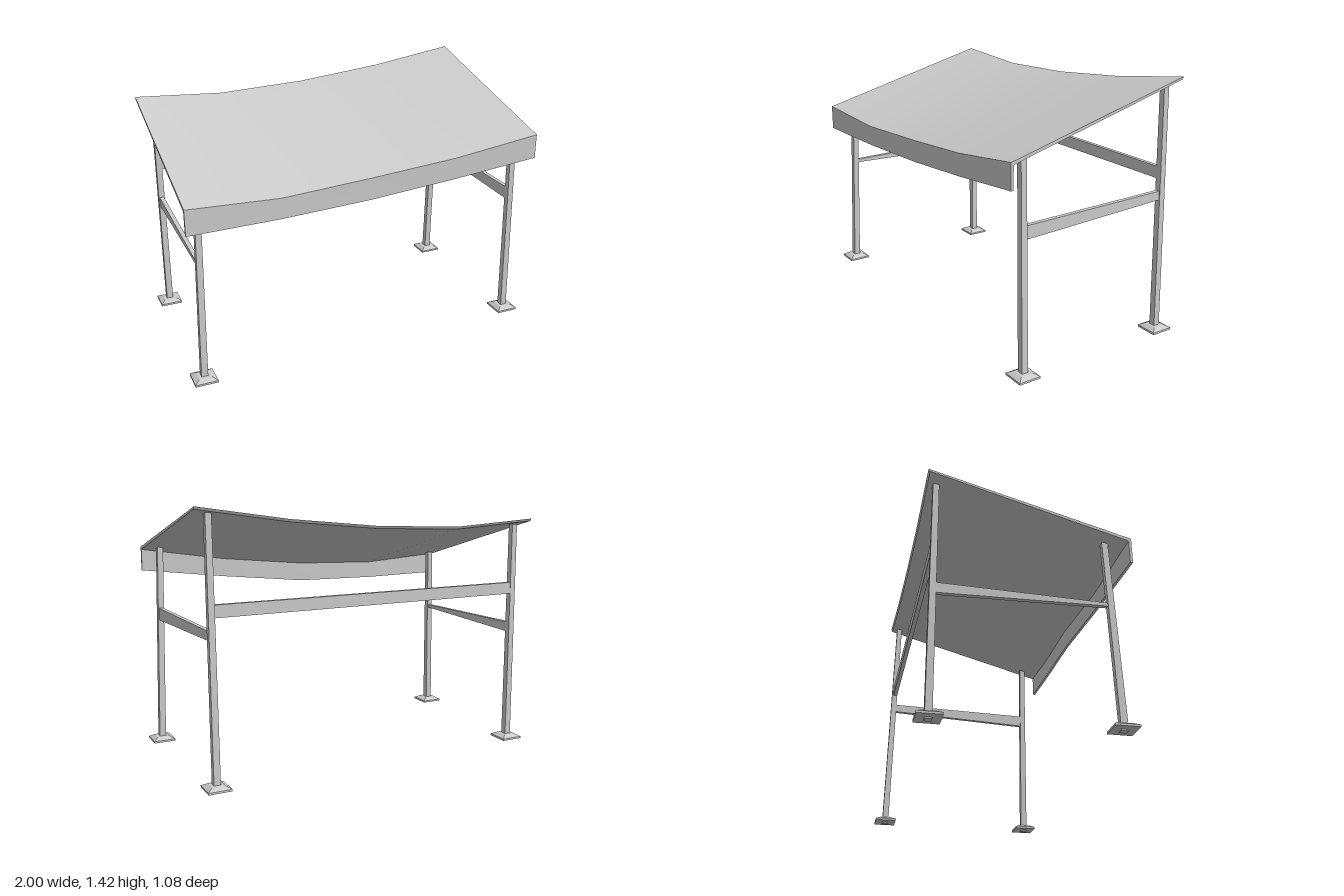
import * as THREE from 'three';
import { toCreasedNormals } from 'three/addons/utils/BufferGeometryUtils.js';

const material = new THREE.MeshStandardMaterial({ color: 0xcccccc });

function addMesh(parent, name, geometry) {
  const mesh = new THREE.Mesh(geometry, material);
  mesh.name = name;
  parent.add(mesh);
}

// Joins equal closed loops of points into a capped solid.
// Loops run counter-clockwise seen from the last section; caps lists triangles of one loop.
function loft(loops, caps, crease = 0.4) {
  const n = loops[0].length;
  const index = [];
  for (let s = 0; s < loops.length - 1; s++) {
    for (let i = 0; i < n; i++) {
      const a = s * n + i, b = s * n + (i + 1) % n;
      index.push(a, b, b + n, a, b + n, a + n);
    }
  }
  const last = (loops.length - 1) * n;
  for (const [a, b, c] of caps) index.push(a, c, b, last + a, last + b, last + c);
  const geometry = new THREE.BufferGeometry();
  geometry.setAttribute('position', new THREE.Float32BufferAttribute(loops.flat(2), 3));
  geometry.setIndex(index);
  return toCreasedNormals(geometry, crease);
}

const quadCaps = [[0, 1, 2], [0, 2, 3]];

// Sagging, sloped roof sheet with a hanging front valance
function roofGeometry() {
  // x, back top y, front top y, front z, valance bottom y
  const stations = [
    [-1.0, 1.305, 1.025, 0.54, 0.885],
    [-0.5, 1.275, 0.995, 0.515, 0.882],
    [0.0, 1.295, 1.015, 0.49, 0.893],
    [0.5, 1.345, 1.065, 0.515, 0.945],
    [0.99, 1.418, 1.14, 0.54, 1.005],
  ];
  const t = 0.014;
  const loops = stations.map(([x, back, front, z, low]) => [
    [x, back, -0.5],
    [x, back - t, -0.492],
    [x, front - t, z - t],
    [x, low, z - t],
    [x, low, z],
    [x, front, z],
  ]);
  // The loop turns the other way about +x, so reverse it to face outwards
  loops.forEach((loop) => loop.reverse());
  return loft(loops, [[0, 1, 2], [0, 2, 3], [0, 3, 5], [3, 4, 5]]);
}

// Tapered square post from a foot point to a head point
function postGeometry([x0, z0], [x1, y1, z1]) {
  const square = (x, y, z, r) => [
    [x - r, y, z + r], [x + r, y, z + r], [x + r, y, z - r], [x - r, y, z - r],
  ];
  return loft([square(x0, 0, z0, 0.018), square(x1, y1, z1, 0.016)], quadCaps);
}

// Square foot plate with a bevelled top
function plateGeometry(x, z) {
  const ring = (r, y) => [
    [x - r, y, z + r], [x + r, y, z + r], [x + r, y, z - r], [x - r, y, z - r],
  ];
  return loft([ring(0.062, 0.007), ring(0.062, 0.018), ring(0.035, 0.033)], quadCaps, 0.2);
}

// Board between two ends, each given as [x, z, low y, high y]
function railGeometry(a, b, thickness = 0.024) {
  const side = new THREE.Vector2(b[1] - a[1], a[0] - b[0]).setLength(thickness / 2);
  const section = ([x, z, low, high]) => [
    [x + side.x, low, z + side.y],
    [x + side.x, high, z + side.y],
    [x - side.x, high, z - side.y],
    [x - side.x, low, z - side.y],
  ];
  return loft([section(a), section(b)], quadCaps);
}

export function createModel() {
  const model = new THREE.Group();
  model.name = 'canopy';

  addMesh(model, 'roof', roofGeometry());

  // Splayed posts, each on its own foot plate
  const posts = [
    ['frontLeft', [0.937, 0.423], [0.91, 1.15, 0.425]],
    ['frontRight', [-0.937, 0.453], [-0.91, 1.035, 0.425]],
    ['backLeft', [0.91, -0.482], [0.91, 1.385, -0.45]],
    ['backRight', [-0.91, -0.453], [-0.91, 1.275, -0.45]],
  ];
  for (const [name, foot, head] of posts) {
    addMesh(model, name + 'Post', postGeometry(foot, head));
    addMesh(model, name + 'FootPlate', plateGeometry(...foot));
  }

  // Rails tying the posts together at the sides and back
  addMesh(model, 'leftRail', railGeometry([0.918, 0.42, 0.725, 0.795], [0.91, -0.455, 0.762, 0.81]));
  addMesh(model, 'rightRail', railGeometry([-0.918, 0.425, 0.662, 0.68], [-0.91, -0.45, 0.648, 0.704]));
  addMesh(model, 'backRail', railGeometry([-0.91, -0.453, 0.875, 0.94], [0.91, -0.458, 0.875, 0.94]));

  return model;
}
